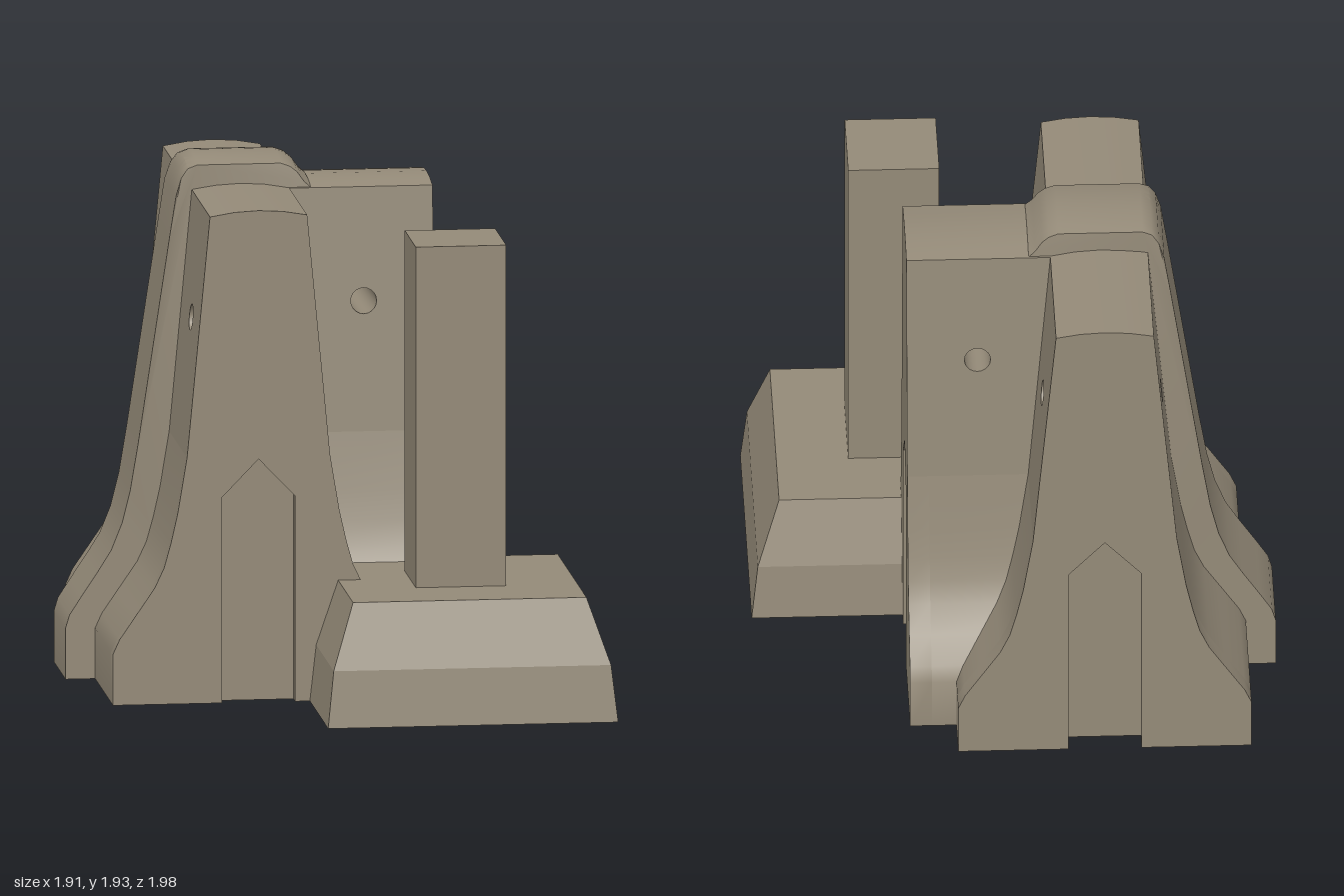
import * as THREE from 'three';
import { toCreasedNormals } from 'three/addons/utils/BufferGeometryUtils.js';

const SPLIT = 0.92, EAVE = 1.82, RIDGE = 1.84;
const HALF_SPLIT = 0.265, HALF_TOP = 0.18;
// half-width of the flared foot, from the ground up
const FOOT = [[0.54, 0], [0.54, 0.19], [0.515, 0.245], [0.45, 0.34], [0.385, 0.435],
  [0.35, 0.51], [0.325, 0.6], [0.3, 0.71], [HALF_SPLIT, SPLIT]];
// pointed niche cut into the wall ends
const NICHE = [[-0.135, 0], [-0.135, 0.77], [0, 0.91], [0.135, 0.77], [0.135, 0]];

const toShape = (pts) => new THREE.Shape(pts.map(([x, y]) => new THREE.Vector2(x, y)));

function extrude(pts, from, to, steps = 1) {
  const g = new THREE.ExtrudeGeometry(toShape(pts), { depth: to - from, steps, bevelEnabled: false });
  return g.translate(0, 0, from);
}

export function createModel() {
  const concrete = new THREE.MeshStandardMaterial({ color: 0x948a78 });
  concrete.name = 'concrete';
  const model = new THREE.Group();
  model.name = 'cornerBarrier';

  function add(parent, name, geometry) {
    const mesh = new THREE.Mesh(geometry, concrete);
    mesh.name = name;
    parent.add(mesh);
    return mesh;
  }

  // Wall running along its local z, with niches in its ends and cross holes
  function makeWall(name, from, to, holes, backDepth, frontDepth) {
    const wall = new THREE.Group();
    wall.name = name;
    const mirrored = FOOT.map(([x, y]) => [-x, y]).reverse();
    const solid = [...FOOT, ...mirrored];
    const notched = [...NICHE, ...solid];
    const foot = (part, pts, a, b) => add(wall, part, toCreasedNormals(extrude(pts, a, b), 0.6));
    foot('foot', solid, from + backDepth, to - frontDepth);
    if (backDepth) foot('backNiche', notched, from, from + backDepth);
    if (frontDepth) foot('frontNiche', notched, to - frontDepth, to);

    // tapered upper wall, pierced sideways
    const side = toShape([[from, SPLIT], [to, SPLIT], [to, EAVE], [from, EAVE]]);
    for (const z of holes) {
      side.holes.push(new THREE.Path().absarc(z, 1.4, 0.048, 0, Math.PI * 2, true));
    }
    const upper = new THREE.ExtrudeGeometry(side, { depth: 1, bevelEnabled: false, curveSegments: 10 });
    upper.rotateY(-Math.PI / 2);
    const p = upper.attributes.position;
    for (let i = 0; i < p.count; i++) {
      const half = THREE.MathUtils.mapLinear(p.getY(i), SPLIT, EAVE, HALF_SPLIT, HALF_TOP);
      p.setX(i, (p.getX(i) + 0.5) * 2 * half);
    }
    add(wall, 'upperWall', toCreasedNormals(upper, 0.7));

    // shallow crown
    const crown = [[-HALF_TOP, EAVE], [HALF_TOP, EAVE], [0.09, 1.835], [0, RIDGE], [-0.09, 1.835]];
    add(wall, 'crown', toCreasedNormals(extrude(crown, from, to), 0.3));
    model.add(wall);
    return wall;
  }

  const longWall = makeWall('longWall', -0.99, 0.44, [-0.72, 0.19], 0.08, 0.05);
  longWall.position.x = -0.31;

  const crossWall = makeWall('crossWall', -0.31, 0.4, [0.14], 0, 0.08);
  crossWall.rotation.y = Math.PI / 2;
  crossWall.position.z = -0.275;

  // Raised band up the outer side and over the crossing
  const band = extrude([[-0.31, 0], [-0.31, 1.7], [-0.05, 1.7], [-0.05, 1.842], [-0.075, 1.865],
    [-0.1, 1.9], [-0.125, 1.92], [-0.16, 1.933], [-0.47, 1.933], [-0.505, 1.92], [-0.53, 1.885],
    [-0.55, 1.8], [-0.575, 1.64], [-0.69, 0.88], [-0.72, 0.7], [-0.75, 0.58], [-0.79, 0.48],
    [-0.84, 0.4], [-0.9, 0.31], [-0.945, 0.24], [-0.96, 0.19], [-0.96, 0]].reverse(), -0.177, 0.177, 8);
  const bp = band.attributes.position;
  for (let i = 0; i < bp.count; i++) {
    const y = bp.getY(i), t = bp.getZ(i) / 0.177;
    if (y > EAVE) {
      bp.setY(i, y - 0.022 * t * t);
      bp.setZ(i, bp.getZ(i) * (1 - 0.8 * (y - EAVE)));
    }
  }
  add(model, 'band', toCreasedNormals(band, 0.6)).position.z = -0.275;

  // Square footing in two tapered tiers
  function tier(name, bottomHalf, topHalf, y0, y1) {
    const g = new THREE.CylinderGeometry(topHalf * Math.SQRT2, bottomHalf * Math.SQRT2, y1 - y0, 4)
      .rotateY(Math.PI / 4).toNonIndexed();
    g.computeVertexNormals();
    add(model, name, g).position.set(0.4175, (y0 + y1) / 2, 0.4575);
  }
  tier('footingBase', 0.5375, 0.514, 0, 0.21);
  tier('footingTop', 0.514, 0.4325, 0.21, 0.45);

  // Square post
  add(model, 'post', new THREE.BoxGeometry(0.335, 1.28, 0.335)).position.set(0.4175, 1.085, 0.4575);

  return model;
}
